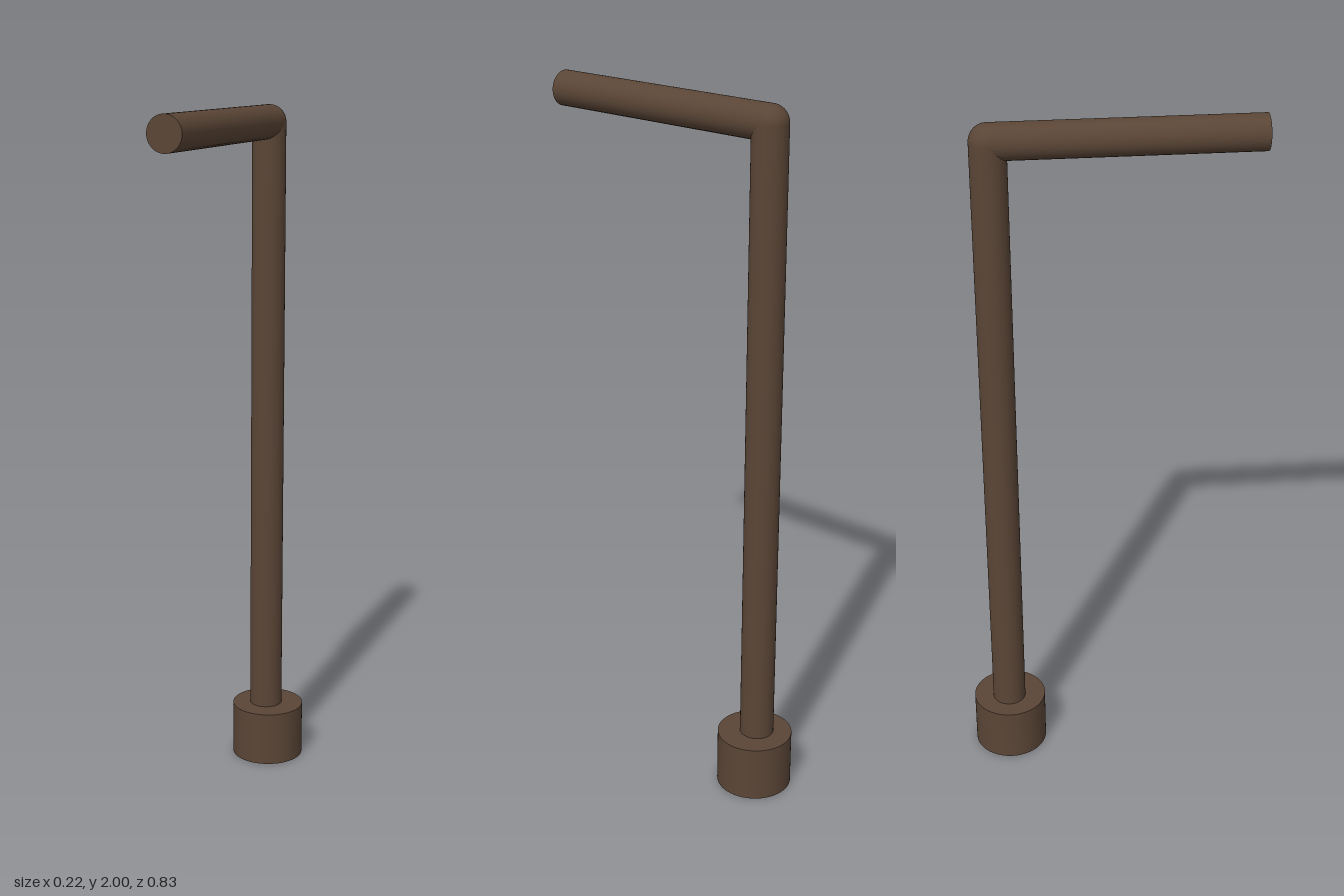
import * as THREE from 'three';

export function createModel() {
  const model = new THREE.Group();
  const bronze = new THREE.MeshStandardMaterial({ color: 0x5a4536 });
  bronze.name = 'dark bronze';

  const x = -0.007, z = -0.308, r = 0.049, armY = 2 - r, baseTop = 0.164, armEnd = 0.412;

  const add = (name, geometry, px, py, pz) => {
    const mesh = new THREE.Mesh(geometry, bronze);
    mesh.name = name;
    mesh.position.set(px, py, pz);
    model.add(mesh);
    return mesh;
  };

  // Wide round foot
  add('base', new THREE.CylinderGeometry(0.108, 0.108, baseTop, 64), 0, baseTop / 2, -0.306);

  // Upright, slightly off the centre of the foot
  const postHeight = armY - baseTop;
  add('post', new THREE.CylinderGeometry(r, r, postHeight, 48, 1, true), x, baseTop + postHeight / 2, z);

  // Rounded corner between post and arm
  add('elbow', new THREE.SphereGeometry(r, 48, 32), x, armY, z);

  // Arm reaching forward with a flat end
  const armLength = armEnd - z;
  const arm = add('arm', new THREE.CylinderGeometry(r, r, armLength, 48), x, armY, z + armLength / 2);
  arm.rotation.x = Math.PI / 2;

  return model;
}
